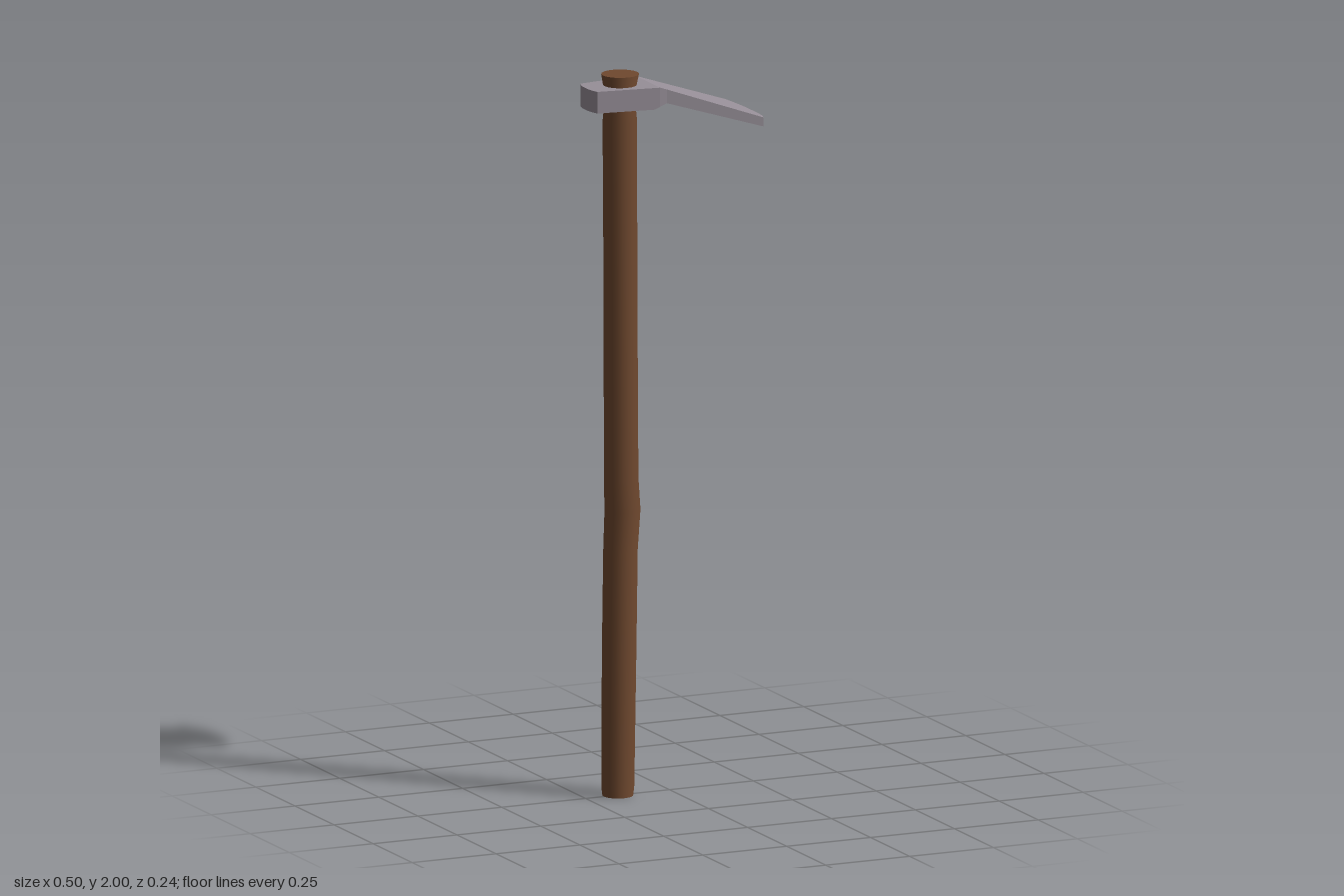
import * as THREE from 'three';

const wood = new THREE.MeshStandardMaterial({ color: 0x70492f });
wood.name = 'brown wood';
const steel = new THREE.MeshStandardMaterial({ color: 0x978f98, flatShading: true });
steel.name = 'grey steel';

// Handle: a cylinder whose rows follow [height, centre x, radius]
function makeHandle() {
  const rows = [
    [0, -0.154, 0.042], [0.025, -0.154, 0.045], [0.4, -0.15, 0.047], [0.68, -0.146, 0.047],
    [0.79, -0.14, 0.049], [0.88, -0.144, 0.047], [1.4, -0.146, 0.046], [1.87, -0.148, 0.047],
    [1.91, -0.148, 0.043], [1.96, -0.148, 0.044], [2, -0.147, 0.0515],
  ];
  const n = rows.length - 1;
  const geo = new THREE.CylinderGeometry(1, 1, n, 20, n);
  const p = geo.attributes.position;
  for (let i = 0; i < p.count; i++) {
    const [y, cx, r] = rows[Math.round(p.getY(i) + n / 2)];
    p.setXYZ(i, cx + p.getX(i) * r, y, p.getZ(i) * r);
  }
  return new THREE.Mesh(geo, wood);
}

// Head: cross-sections along x, each [x, half width, top, bottom, end bulge]
function makeHead() {
  const sections = [
    [-0.24, 0.055, 1.97, 1.91, -0.01], [-0.08, 0.078, 1.97, 1.91, 0],
    [-0.065, 0.08, 1.97, 1.917, 0], [-0.045, 0.08, 1.963, 1.925, 0],
    [0.224, 0.122, 1.868, 1.843, 0.024],
  ];
  const across = [-1, -0.65, -0.3, 0.3, 0.65, 1];
  const curve = [0, 0.7, 1, 1, 0.7, 0];
  const cols = across.length;
  const pos = [], index = [];
  for (const [x, w, top, bottom, bulge] of sections) {
    across.forEach((a, j) => {
      const drop = bulge > 0 ? bulge * curve[j] * 0.35 : 0;
      const px = x + bulge * curve[j];
      pos.push(px, top - drop, a * w, px, bottom - drop, a * w);
    });
  }
  const top = (i, j) => (i * cols + j) * 2;
  const low = (i, j) => top(i, j) + 1;
  const quad = (a, b, c, d) => index.push(a, b, c, a, c, d);
  const last = sections.length - 1, edge = cols - 1;
  for (let i = 0; i < last; i++) {
    for (let j = 0; j < edge; j++) {
      quad(top(i, j), top(i, j + 1), top(i + 1, j + 1), top(i + 1, j));
      quad(low(i, j), low(i + 1, j), low(i + 1, j + 1), low(i, j + 1));
    }
    quad(low(i, edge), low(i + 1, edge), top(i + 1, edge), top(i, edge));
    quad(low(i, 0), top(i, 0), top(i + 1, 0), low(i + 1, 0));
  }
  for (let j = 0; j < edge; j++) {
    quad(low(0, j), low(0, j + 1), top(0, j + 1), top(0, j));
    quad(low(last, j), top(last, j), top(last, j + 1), low(last, j + 1));
  }
  const indexed = new THREE.BufferGeometry();
  indexed.setAttribute('position', new THREE.Float32BufferAttribute(pos, 3));
  indexed.setIndex(index);
  const geo = indexed.toNonIndexed();
  geo.computeVertexNormals();
  return new THREE.Mesh(geo, steel);
}

export function createModel() {
  const model = new THREE.Group();
  model.name = 'hoe';
  const handle = makeHandle();
  handle.name = 'handle';
  const head = makeHead();
  head.name = 'head';
  model.add(handle, head);
  return model;
}
